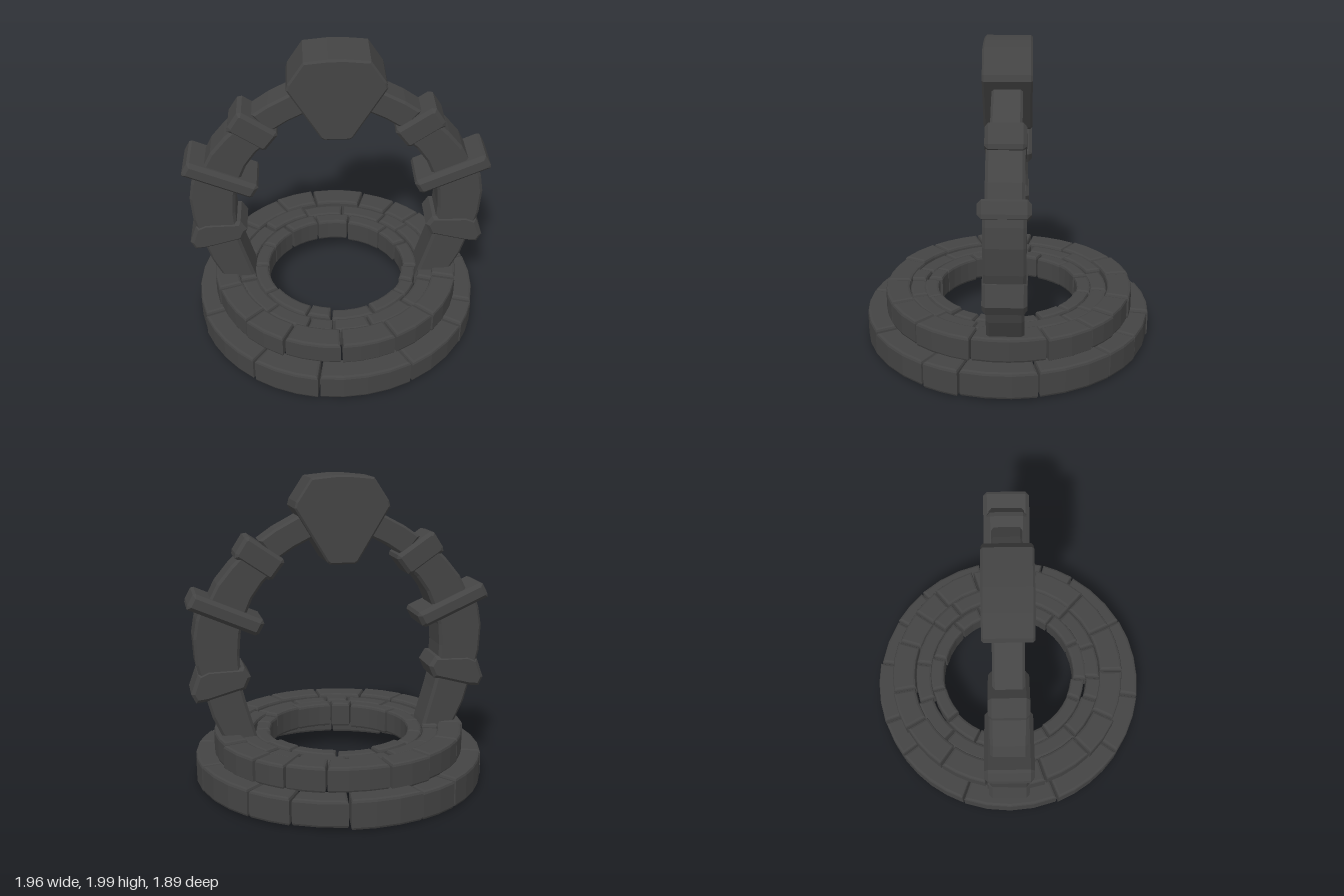
import * as THREE from 'three';

const stone = new THREE.MeshStandardMaterial({ color: 0x444444, flatShading: true });

// small seeded random, returns -1..1
let seed = 7;
const jitter = () => {
  seed = (seed * 16807) % 2147483647;
  return (seed / 2147483647) * 2 - 1;
};

// chamfered prism from an outline, centred on z = 0
function prism(points, depth, bevel, segments = 1) {
  const shape = new THREE.Shape(points.map(([x, y]) => new THREE.Vector2(x, y)));
  const geo = new THREE.ExtrudeGeometry(shape, {
    depth: depth - 2 * bevel, bevelEnabled: true, bevelThickness: bevel,
    bevelSize: bevel, bevelOffset: -bevel, bevelSegments: segments,
  });
  return geo.translate(0, 0, -depth / 2 + bevel);
}

// one curved stone lying flat, spanning angles a0..a1 (degrees)
function ringStone(a0, a1, inner, outer, y0, y1) {
  const steps = Math.max(2, Math.round((a1 - a0) / 9));
  const outside = [], inside = [];
  for (let i = 0; i <= steps; i++) {
    const a = THREE.MathUtils.degToRad(a0 + ((a1 - a0) * i) / steps);
    outside.push([Math.cos(a) * outer, Math.sin(a) * outer]);
    inside.unshift([Math.cos(a) * inner, Math.sin(a) * inner]);
  }
  const geo = prism([...outside, ...inside], y1 - y0, 0.018, 2);
  return geo.rotateX(Math.PI / 2).translate(0, (y0 + y1) / 2, 0);
}

// stone rings: joints are the angles where neighbouring stones meet
const rings = [
  { name: 'outerBaseRing', inner: 0.785, outer: 0.945, y0: 0.015, y1: 0.195,
    joints: [-82, -60.5, -43, -12.5, 17, 32, 62, 99, 126, 159, 200, 233, 250] },
  { name: 'upperRing', inner: 0.665, outer: 0.825, y0: 0.19, y1: 0.35,
    joints: [-100, -73, -55, -40, -18, 15, 43, 65, 90, 116, 137, 162, 191, 215, 240] },
  { name: 'middleRing', inner: 0.56, outer: 0.67, y0: 0.18, y1: 0.335,
    joints: [-109, -83, -54, -37, -9, 18, 43, 72, 94, 109, 135, 166, 194, 222] },
  { name: 'innerRing', inner: 0.46, outer: 0.555, y0: 0.165, y1: 0.335,
    joints: [-104, -77, -45, -23, 5, 22, 38, 66, 96, 113, 149, 180, 205, 230] },
];

// arch pieces for the +x half: outline in x, y, then full depth in z
const archParts = [
  { name: 'archFoot', depth: 0.23, bevel: 0.018,
    outline: [[0.7, 0.2], [0.78, 0.35], [0.84, 0.48], [0.89, 0.66],
      [0.65, 0.68], [0.625, 0.58], [0.56, 0.35], [0.52, 0.2]] },
  { name: 'archLowerStone', depth: 0.25, bevel: 0.018,
    outline: [[0.9, 0.68], [0.935, 0.83], [0.945, 1.0], [0.925, 1.12], [0.89, 1.22],
      [0.62, 1.14], [0.65, 1.02], [0.66, 0.88], [0.65, 0.72]] },
  { name: 'archMiddleStone', depth: 0.23, bevel: 0.018,
    outline: [[0.87, 1.18], [0.79, 1.34], [0.7, 1.45], [0.58, 1.57],
      [0.41, 1.42], [0.5, 1.34], [0.57, 1.24], [0.62, 1.12]] },
  { name: 'archUpperStone', depth: 0.19, bevel: 0.015,
    outline: [[0.52, 1.6], [0.42, 1.67], [0.28, 1.745], [0.12, 1.78],
      [0.1, 1.62], [0.2, 1.6], [0.3, 1.55], [0.42, 1.47]] },
  { name: 'lowerCollar', depth: 0.265, bevel: 0.022,
    outline: [[0.97, 0.645], [0.925, 0.77], [0.86, 0.8], [0.63, 0.805],
      [0.59, 0.74], [0.625, 0.66], [0.86, 0.595], [0.94, 0.585]] },
  { name: 'middleCollar', depth: 0.305, bevel: 0.025,
    outline: [[0.98, 1.195], [0.975, 1.22], [0.94, 1.285], [0.92, 1.29], [0.51, 1.11],
      [0.5, 1.085], [0.535, 1.02], [0.56, 1.01]] },
  { name: 'upperCollar', depth: 0.245, bevel: 0.022,
    outline: [[0.675, 1.5], [0.67, 1.53], [0.61, 1.625], [0.58, 1.63], [0.37, 1.485],
      [0.365, 1.46], [0.44, 1.36], [0.465, 1.355]] },
];

export function createModel() {
  const model = new THREE.Group();
  const add = (parent, name, geo) => {
    const mesh = new THREE.Mesh(geo, stone);
    mesh.name = name;
    parent.add(mesh);
    return mesh;
  };

  // base rings of uneven stones
  for (const { name, inner, outer, y0, y1, joints } of rings) {
    const ring = new THREE.Group();
    ring.name = name;
    joints.forEach((a, i) => {
      const end = i + 1 < joints.length ? joints[i + 1] : joints[0] + 360;
      const gap = 0.4 / outer;
      const shift = jitter() * 0.01;
      add(ring, 'ringStone', ringStone(a + gap, end - gap, inner + shift, outer + shift,
        y0 + jitter() * 0.008, y1 + jitter() * 0.008));
    });
    model.add(ring);
  }

  // mirrored arch halves
  for (const side of [1, -1]) {
    const half = new THREE.Group();
    half.name = side > 0 ? 'leftArch' : 'rightArch';
    for (const { name, outline, depth, bevel } of archParts) {
      add(half, name, prism(outline.map(([x, y]) => [x * side, y]), depth, bevel));
    }
    model.add(half);
  }

  // keystone
  add(model, 'keystone', prism([[0.2, 1.985], [0.05, 2], [-0.05, 2], [-0.2, 1.985],
    [-0.295, 1.84], [-0.305, 1.8], [-0.1, 1.46], [-0.08, 1.445],
    [0.08, 1.445], [0.1, 1.46], [0.305, 1.8], [0.295, 1.84]], 0.305, 0.012));

  return model;
}
